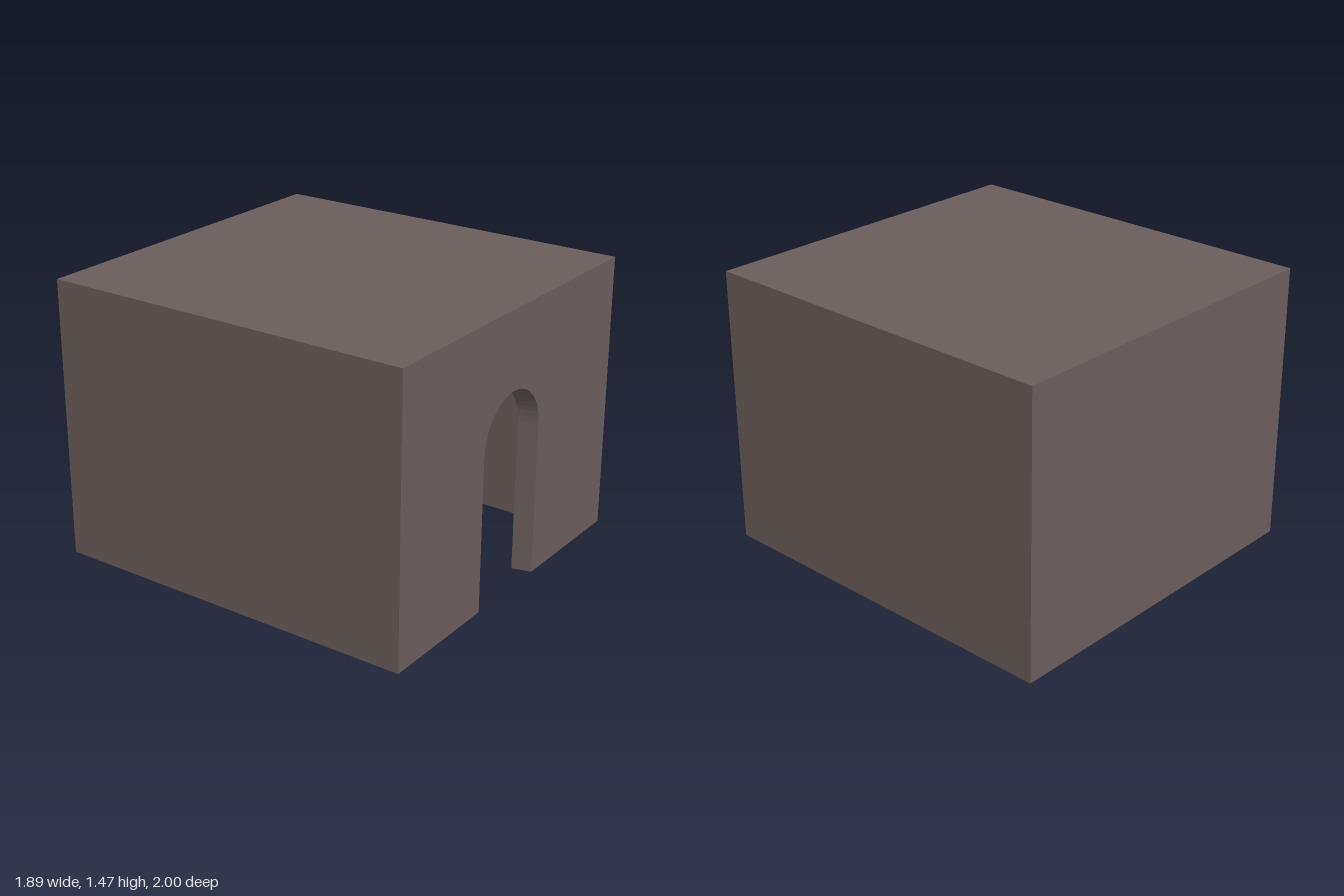
import * as THREE from 'three';

const W = 0.945, H = 1.47;          // half width, height
const CX = -0.01;                   // doorway and room centre
const R = 0.25, SPRING = 0.81;      // arch radius and spring height
const CEILING = 1.29, FRONT_BACK = 0.9;

const material = new THREE.MeshStandardMaterial({ color: 0x6b5e5c, flatShading: true });

function part(name, geometry) {
  const mesh = new THREE.Mesh(geometry, material);
  mesh.name = name;
  return mesh;
}

// Upright arch outline, left foot to right foot
function archPoints(cx, segments = 24) {
  const points = [new THREE.Vector2(cx - R, 0)];
  for (let i = 0; i <= segments; i++) {
    const a = Math.PI * (1 - i / segments);
    points.push(new THREE.Vector2(cx + R * Math.cos(a), SPRING + R * Math.sin(a)));
  }
  points.push(new THREE.Vector2(cx + R, 0));
  return points;
}

// Narrow the arch towards its inner face, leaving the outer wall corners alone
function taperArch(geometry, cx, scale) {
  const p = geometry.attributes.position;
  for (let i = 0; i < p.count; i++) {
    const x = p.getX(i), y = p.getY(i);
    if (p.getZ(i) > 0.01 || Math.abs(x - cx) > R + 0.01 || y > SPRING + R + 0.01) continue;
    p.setX(i, cx + (x - cx) * scale);
    if (y > SPRING) p.setY(i, SPRING + (y - SPRING) * scale);
  }
  geometry.computeVertexNormals();
  return geometry;
}

export function createModel() {
  const model = new THREE.Group();
  model.name = 'archedRoom';

  // Side walls and thick back wall, as a U-shaped plan
  const plan = new THREE.Shape([
    [-W, -FRONT_BACK], [-0.78, -FRONT_BACK], [-0.78, 0.45], [0.76, 0.45],
    [0.76, -FRONT_BACK], [W, -FRONT_BACK], [W, 1], [-W, 1],
  ].map(([x, y]) => new THREE.Vector2(x, y)));
  const walls = new THREE.ExtrudeGeometry(plan, { depth: CEILING, bevelEnabled: false });
  walls.rotateX(-Math.PI / 2);
  model.add(part('sideAndBackWalls', walls));

  // Roof slab
  const roof = new THREE.BoxGeometry(2 * W, H - CEILING, 1 + FRONT_BACK);
  roof.translate(0, (H + CEILING) / 2, (FRONT_BACK - 1) / 2);
  model.add(part('roof', roof));

  // Front wall with an arched doorway that narrows inwards
  const face = new THREE.Shape([
    new THREE.Vector2(-W, 0), ...archPoints(CX),
    new THREE.Vector2(W, 0), new THREE.Vector2(W, H), new THREE.Vector2(-W, H),
  ]);
  const frontWall = new THREE.ExtrudeGeometry(face, { depth: 0.1, bevelEnabled: false });
  taperArch(frontWall, CX, 0.9).translate(0, 0, FRONT_BACK);
  model.add(part('frontWall', frontWall));

  // Arched door leaf folded open against the inside of the front wall
  const doorX = -0.487;
  const leaf = new THREE.ExtrudeGeometry(new THREE.Shape(archPoints(doorX)),
    { depth: 0.1, bevelEnabled: false });
  taperArch(leaf, doorX, 0.88).translate(0, 0, 0.8);
  model.add(part('openDoor', leaf));

  return model;
}
